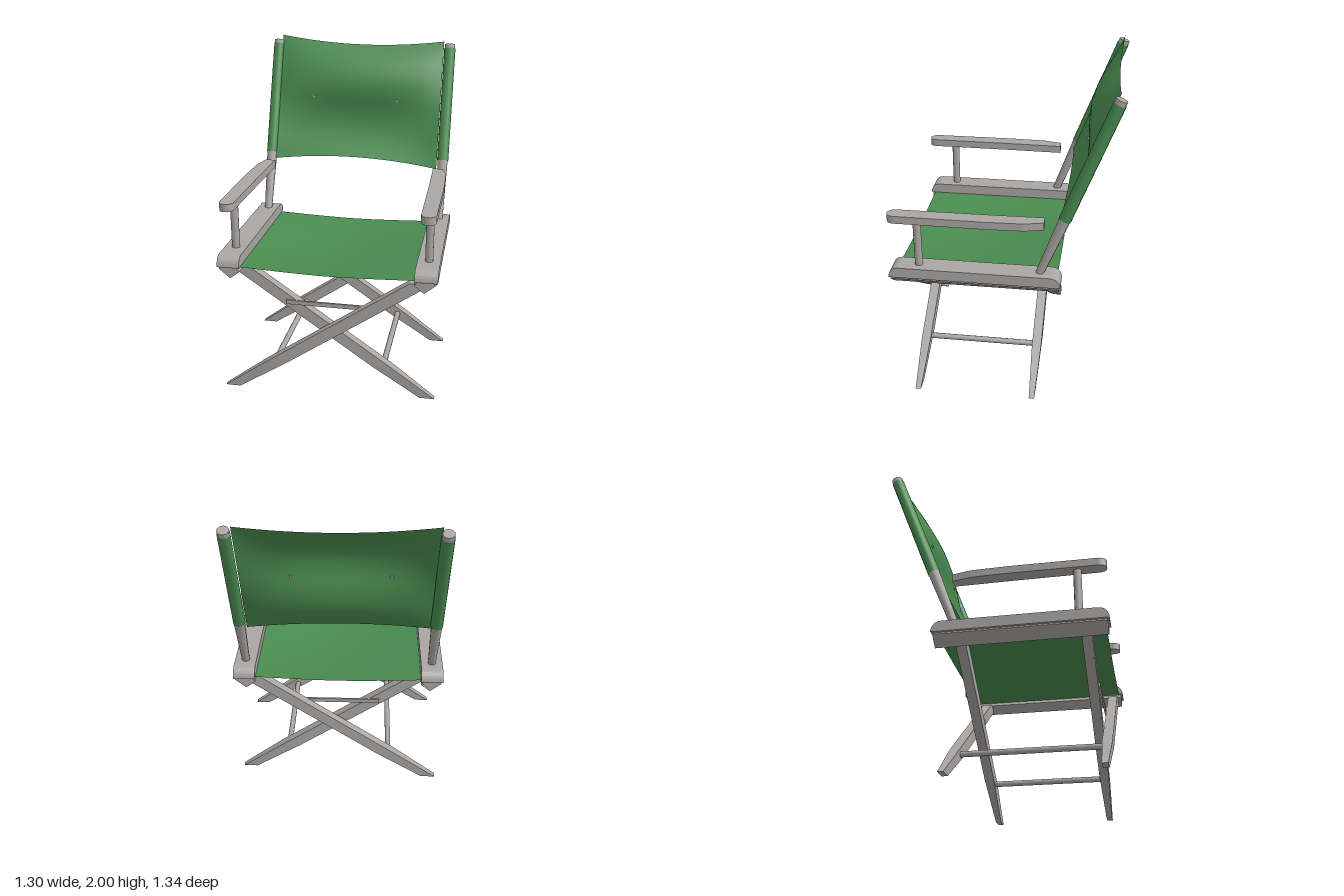
import * as THREE from 'three';

const frame = new THREE.MeshStandardMaterial({ color: 0xa9a6a4 });
frame.name = 'grey wood';
const canvas = new THREE.MeshStandardMaterial({ color: 0x4a8c50, side: THREE.DoubleSide });
canvas.name = 'green canvas';

export function createModel() {
  const group = new THREE.Group();
  const add = (name, geometry, material = frame) => {
    const mesh = new THREE.Mesh(geometry, material);
    mesh.name = name;
    group.add(mesh);
    return mesh;
  };

  // Round bar between two points
  const bar = (name, a, b, rA, rB, material = frame, open = false, sides = 10) => {
    const from = new THREE.Vector3(...a), to = new THREE.Vector3(...b);
    const dir = to.clone().sub(from);
    const mesh = add(name, new THREE.CylinderGeometry(rB, rA, dir.length(), sides, 1, open), material);
    mesh.position.copy(from).add(to).multiplyScalar(0.5);
    mesh.quaternion.setFromUnitVectors(new THREE.Vector3(0, 1, 0), dir.normalize());
    return mesh;
  };

  // Point on the leaning back post axis
  const postZ = (y) => -0.225 - (y - 0.89) * 0.384;
  const onPost = (s, y) => [s * 0.583, y, postZ(y)];

  // Slanted leg with a horizontal cut and a tapered foot
  const legLevels = [ // y, centre x, width in x, width in z
    [0, 0.603, 0.09, 0.034],
    [0.2, 0.317, 0.122, 0.058],
    [0.8, -0.55, 0.122, 0.06],
  ];
  const leg = (footSide, z) => {
    const g = new THREE.BoxGeometry(1, 2, 1, 1, 2, 1);
    const p = g.attributes.position;
    for (let i = 0; i < p.count; i++) {
      const [y, cx, wx, wz] = legLevels[Math.round(p.getY(i) + 1)];
      p.setXYZ(i, footSide * cx + p.getX(i) * wx, y, z + p.getZ(i) * wz);
    }
    const flat = g.toNonIndexed();
    flat.computeVertexNormals();
    add('leg', flat);
  };

  for (const s of [-1, 1]) {
    // Side rail with rounded upper ends
    const rail = new THREE.Shape();
    rail.moveTo(-0.35, 0.825);
    rail.lineTo(0.67, 0.825);
    rail.lineTo(0.67, 0.835);
    rail.quadraticCurveTo(0.66, 0.888, 0.61, 0.89);
    rail.lineTo(-0.29, 0.89);
    rail.quadraticCurveTo(-0.34, 0.888, -0.35, 0.835);
    const railGeo = new THREE.ExtrudeGeometry(rail, { depth: 0.134, bevelEnabled: false, curveSegments: 6 });
    railGeo.rotateY(-Math.PI / 2);
    railGeo.translate(s * 0.583 + 0.067, 0, 0);
    add('seatRail', railGeo);

    // Tilted beam under the rail
    const beam = new THREE.Shape(
      [[0.642, 0.812], [0.63, 0.827], [0.535, 0.827], [0.515, 0.8], [0.573, 0.755]]
        .map(([x, y]) => new THREE.Vector2(s * x, y)));
    const beamGeo = new THREE.ExtrudeGeometry(beam, { depth: 1, bevelEnabled: false });
    beamGeo.translate(0, 0, -0.34);
    add('railBeam', beamGeo);

    // Armrest, rounded in front and cut at an angle behind
    const arm = new THREE.Shape();
    arm.moveTo(s * 0.53, -0.245);
    arm.lineTo(s * 0.595, -0.245);
    arm.lineTo(s * 0.622, -0.13);
    arm.lineTo(s * 0.63, 0.1);
    arm.lineTo(s * 0.627, 0.625);
    arm.quadraticCurveTo(s * 0.622, 0.67, s * 0.583, 0.67);
    arm.quadraticCurveTo(s * 0.544, 0.67, s * 0.539, 0.625);
    arm.lineTo(s * 0.536, 0.1);
    const armGeo = new THREE.ExtrudeGeometry(arm, { depth: 0.047, bevelEnabled: false, curveSegments: 6 });
    armGeo.rotateX(Math.PI / 2);
    armGeo.translate(0, 1.221, 0);
    add('armrest', armGeo);

    // Posts and the canvas sleeve
    bar('armPost', [s * 0.583, 0.88, 0.497], [s * 0.583, 1.18, 0.497], 0.024, 0.024);
    bar('backPostLower', onPost(s, 0.87), onPost(s, 1.25), 0.024, 0.034);
    bar('backPostUpper', onPost(s, 1.25), onPost(s, 1.965), 0.034, 0.034);
    bar('backSleeve', onPost(s, 1.245), onPost(s, 1.94), 0.037, 0.037, canvas, true, 12);

    // Crossed legs: one pair sits outside the other
    const [front, back] = s < 0 ? [0.605, -0.26] : [0.535, -0.19];
    leg(s, front);
    leg(s, back);
    bar('legStretcher', [s * 0.33, 0.19, back], [s * 0.33, 0.19, front], 0.018, 0.018);
  }

  // Folding links between the crossed legs, two halves each
  for (const z of [0.57, -0.225]) {
    for (const [x0, x1] of [[-0.26, 0.02], [0.02, 0.26]]) {
      const link = add('foldingLink', new THREE.BoxGeometry(x1 - x0, 0.026, 0.012));
      link.position.set((x0 + x1) / 2, 0.587, z);
    }
  }

  // Sagging seat, u across and v along z
  const seat = new THREE.PlaneGeometry(2, 1, 12, 10);
  const sp = seat.attributes.position;
  for (let i = 0; i < sp.count; i++) {
    const u = sp.getX(i), v = sp.getY(i) + 0.5;
    const sag = (1 - Math.pow(Math.abs(u), 1.5)) * (0.018 + 0.057 * Math.sin(Math.PI * v));
    sp.setXYZ(i, u * 0.54, 0.826 - sag, 0.645 - v * 0.968);
  }
  seat.computeVertexNormals();
  add('seatCanvas', seat, canvas);

  // Backrest sheet: bows forward high up and backward low down
  const backPoint = (u, v) => {
    const mid = 1 - u * u;
    const bottom = 1.2 - 0.008 * u + 0.04 * mid;
    const top = 1.992 - 0.008 * u - 0.04 * mid;
    const y = bottom + (top - bottom) * v;
    const wave = v > 0.45
      ? 0.075 * Math.sin(Math.PI * (v - 0.45) / 0.55)
      : -0.045 * Math.sin(Math.PI * v / 0.45);
    return [u * 0.55 - 0.006, y, postZ(y) + 0.012 + wave * Math.pow(mid, 0.7)];
  };
  const back = new THREE.PlaneGeometry(2, 1, 16, 16);
  const bp = back.attributes.position;
  for (let i = 0; i < bp.count; i++) bp.setXYZ(i, ...backPoint(bp.getX(i), bp.getY(i) + 0.5));
  back.computeVertexNormals();
  add('backCanvas', back, canvas);

  // Small studs through the backrest
  for (const u of [-0.545, 0.48]) {
    const [x, y, z] = backPoint(u, 0.525);
    bar('backStud', [x, y, z - 0.008], [x, y, z + 0.008], 0.009, 0.009, frame, false, 8);
  }

  return group;
}
